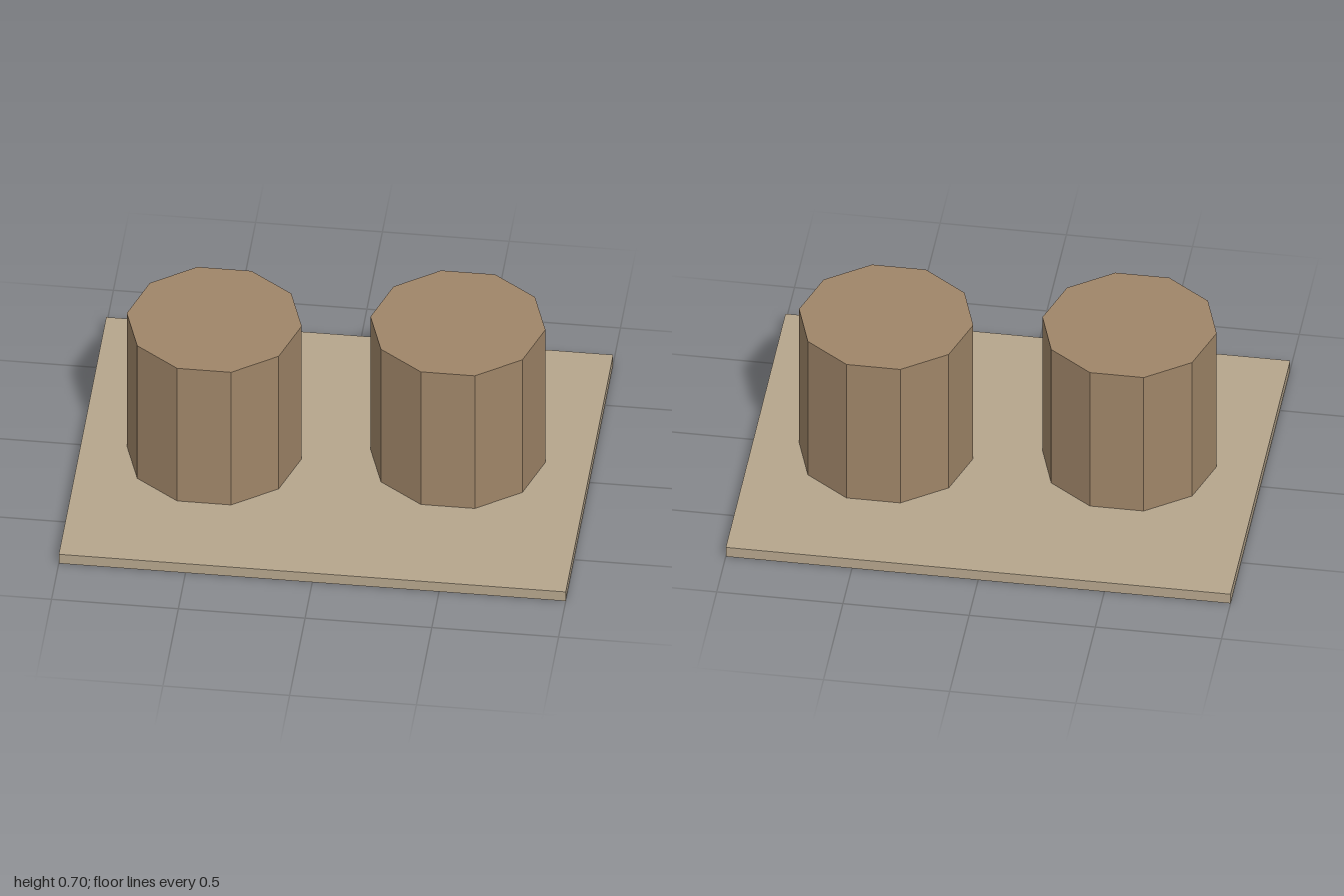
import * as THREE from 'three';

export function createModel() {
  const model = new THREE.Group();
  const slabColour = new THREE.MeshStandardMaterial({ name: 'paleStone', color: 0xb5a58c, flatShading: true });
  const drumColour = new THREE.MeshStandardMaterial({ name: 'warmBrown', color: 0x9f8568, flatShading: true });

  const baseTop = 0.045;
  const drumTop = 0.7;

  // Flat rectangular base
  const base = new THREE.Mesh(new THREE.BoxGeometry(2, baseTop, 1.535), slabColour);
  base.name = 'base';
  base.position.y = baseTop / 2;
  model.add(base);

  // Two ten-sided drums, with corners pointing along x
  const height = drumTop - baseTop;
  const drumGeometry = new THREE.CylinderGeometry(0.345, 0.345, height, 10, 1, false, Math.PI / 2);
  const drums = [
    ['leftDrum', 0.475, -0.05],
    ['rightDrum', -0.475, 0.043],
  ];
  for (const [name, x, z] of drums) {
    const drum = new THREE.Mesh(drumGeometry, drumColour);
    drum.name = name;
    drum.position.set(x, baseTop + height / 2, z);
    model.add(drum);
  }

  return model;
}
